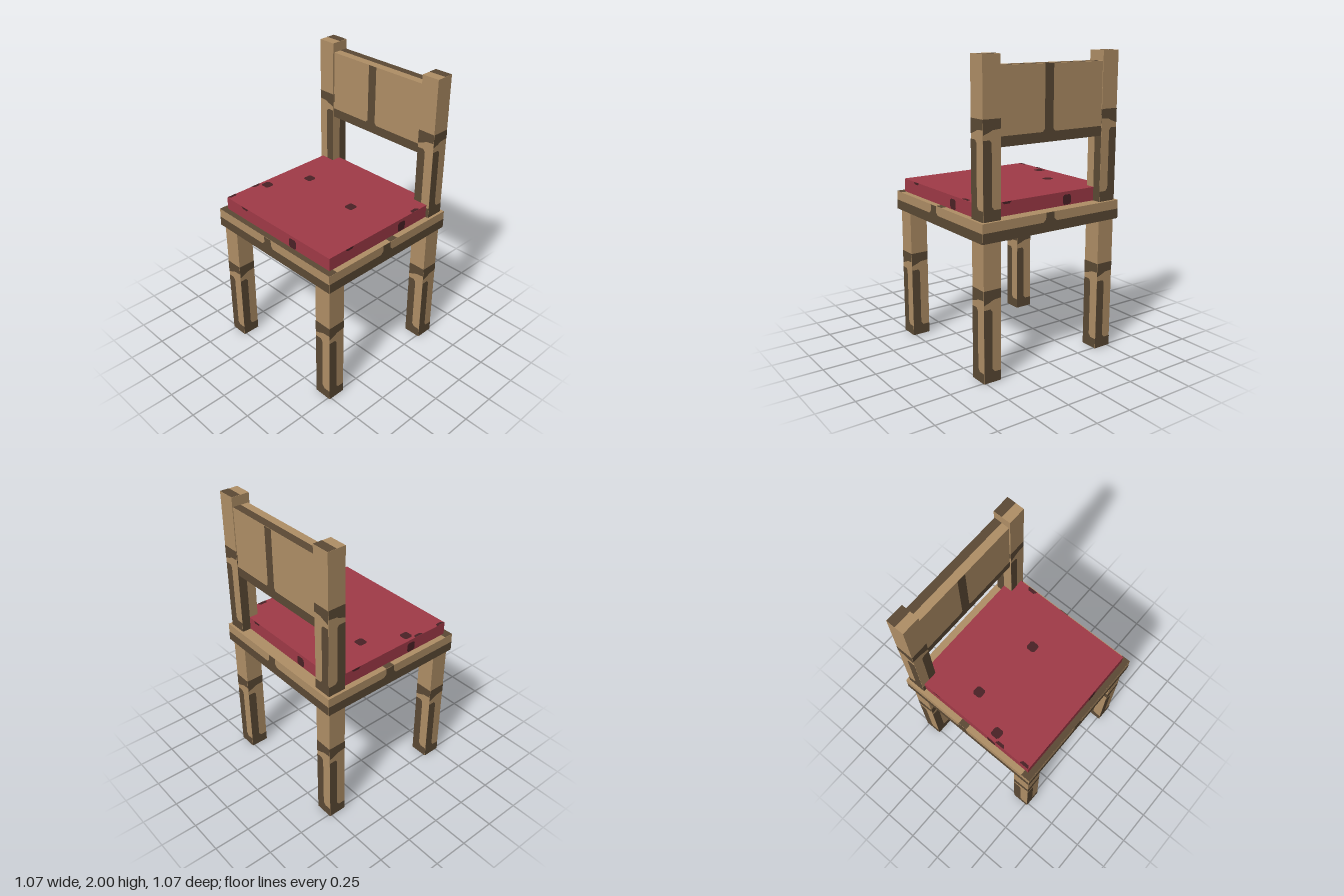
import * as THREE from 'three';

const wood = new THREE.MeshStandardMaterial({ name: 'light wood', color: 0xb08f66 });
const dark = new THREE.MeshStandardMaterial({ name: 'dark wood', color: 0x5c4a35 });
const red = new THREE.MeshStandardMaterial({ name: 'red cloth', color: 0xa03a47 });
const spotRed = new THREE.MeshStandardMaterial({ name: 'dark red cloth', color: 0x4a2226 });

const H = Math.PI / 2;
// rotation of a painted face and the box axis it faces along
const SIDES = {
  front: [0, 0, 'z'], right: [0, H, 'x'], back: [0, Math.PI, 'z'], left: [0, -H, 'x'],
  top: [-H, 0, 'y'], bottom: [H, 0, 'y'],
};
const AROUND = ['front', 'right', 'back', 'left'];

// a box in its own group, given by minimum and maximum corners
function block(name, material, min, max) {
  const group = new THREE.Group();
  group.name = name;
  const size = new THREE.Vector3(...max).sub(new THREE.Vector3(...min));
  group.position.set(...min).addScaledVector(size, 0.5);
  const mesh = new THREE.Mesh(new THREE.BoxGeometry(size.x, size.y, size.z), material);
  mesh.name = name + 'Body';
  group.add(mesh);
  group.userData.size = size;
  return group;
}

// a flat painted shape on one side of a block, clipped to that side
function paint(group, side, material, points, name) {
  const s = group.userData.size;
  const [rx, ry, axis] = SIDES[side];
  const hw = (axis === 'x' ? s.z : s.x) / 2;
  const hh = (axis === 'y' ? s.z : s.y) / 2;
  const clamp = THREE.MathUtils.clamp;
  const shape = new THREE.Shape(points.map(([u, v]) => new THREE.Vector2(clamp(u, -hw, hw), clamp(v, -hh, hh))));
  const mesh = new THREE.Mesh(new THREE.ShapeGeometry(shape), material);
  mesh.name = name;
  mesh.rotation.set(rx, ry, 0);
  mesh.position.set(0, 0, s[axis] / 2 + 0.0015).applyEuler(mesh.rotation);
  group.add(mesh);
}

const rect = (u0, v0, u1, v1) => [[u0, v0], [u1, v0], [u1, v1], [u0, v1]];

// octagonal spot
function spot(u, v, r = 0.033, c = 0.012) {
  const k = r - c;
  return [[-k, -r], [k, -r], [r, -k], [r, k], [k, r], [-k, r], [-r, k], [-r, -k]].map(([a, b]) => [u + a, v + b]);
}

// grain on legs and posts, measured up from the foot
const FOOT = [[-0.0625, 0], [0.0625, 0], [0.0625, 0.068], [0.015, 0.068], [-0.002, 0.088],
  [-0.002, 0.465], [-0.015, 0.483], [-0.0625, 0.483]];
const BAND = [[-0.0625, 0.605], [0.0625, 0.605], [0.0625, 0.545], [0.005, 0.54], [-0.02, 0.528], [-0.0625, 0.513]];

function upright(name, sx, sz, y0, y1, flip) {
  const x = sx * 0.4525, z = sz * 0.4525, w = 0.0625;
  const g = block(name, wood, [x - w, y0, z - w], [x + w, y1, z + w]);
  const place = (p) => p.map(([u, v]) => [u * flip, v - (y1 - y0) / 2]);
  for (const side of AROUND) {
    paint(g, side, dark, place(FOOT), 'footGrain');
    paint(g, side, dark, place(BAND), 'bandGrain');
  }
  return g;
}

export function createModel() {
  const chair = new THREE.Group();
  chair.name = 'chair';

  // legs and back posts
  for (const sx of [-1, 1]) {
    const hand = sx > 0 ? 'left' : 'right';
    for (const sz of [-1, 1]) {
      const leg = upright(hand + (sz > 0 ? 'FrontLeg' : 'BackLeg'), sx, sz, 0, 0.905, 1);
      paint(leg, 'bottom', dark, rect(-1, -1, 1, 1), 'soleGrain');
      chair.add(leg);
    }
    const post = upright(hand + 'BackPost', sx, -1, 1.03, 2, sx);
    paint(post, 'top', dark, rect(-1, 0, 1, 1), 'endGrain');
    chair.add(post);
  }

  // seat frame
  const seat = block('seatFrame', wood, [-0.535, 0.905, -0.535], [0.535, 1.03, 0.535]);
  for (const side of AROUND) {
    paint(seat, side, dark, [[-1, -0.0625], [1, -0.0625], [1, 0.0025], [0.02, 0.0025], [0, 0.022],
      [0, 0.0625], [-0.065, 0.0625], [-0.065, 0.022], [-0.085, 0.0025], [-1, 0.0025]], 'railGrain');
  }
  paint(seat, 'top', dark, rect(-1, -1, 1, -0.47), 'frontGrain');
  paint(seat, 'top', dark, rect(-1, 0, 1, 0.065), 'middleGrain');
  paint(seat, 'bottom', dark, rect(-1, 0, 1, 0.065), 'underGrain');
  paint(seat, 'bottom', dark, [[-0.065, 0.29], [-0.05, 0.27], [-0.015, 0.27], [0, 0.29], [0, 0.47], [-0.065, 0.47]], 'underGrain');
  chair.add(seat);

  // cushion with spots
  const cushion = block('cushion', red, [-0.495, 1.03, -0.455], [0.495, 1.12, 0.495]);
  for (const side of AROUND) {
    paint(cushion, side, spotRed, spot(0.165, -0.008), 'sideSpot');
    paint(cushion, side, spotRed, spot(-0.305, 0.063), 'sideSpot');
  }
  const spots = [[0.165, -0.015], [-0.305, -0.08], [-0.44, 0.19], [0.503, -0.282], [-0.507, 0.255], [-0.507, 0.458]];
  for (const [x, z] of spots) paint(cushion, 'top', spotRed, spot(x, 0.02 - z), 'topSpot');
  chair.add(cushion);

  // backrest board
  const back = block('backrest', wood, [-0.39, 1.465, -0.51], [0.39, 1.935, -0.4]);
  for (const side of ['front', 'back']) {
    paint(back, side, dark, [[-1, -0.235], [1, -0.235], [1, -0.172], [0.015, -0.172], [0, -0.155],
      [0, 0.235], [-0.065, 0.235], [-0.065, -0.155], [-0.08, -0.172], [-1, -0.172]], 'boardGrain');
  }
  paint(back, 'top', dark, rect(-1, 0, 1, 1), 'topGrain');
  paint(back, 'bottom', dark, rect(-1, 0, 1, 1), 'underGrain');
  chair.add(back);

  return chair;
}
